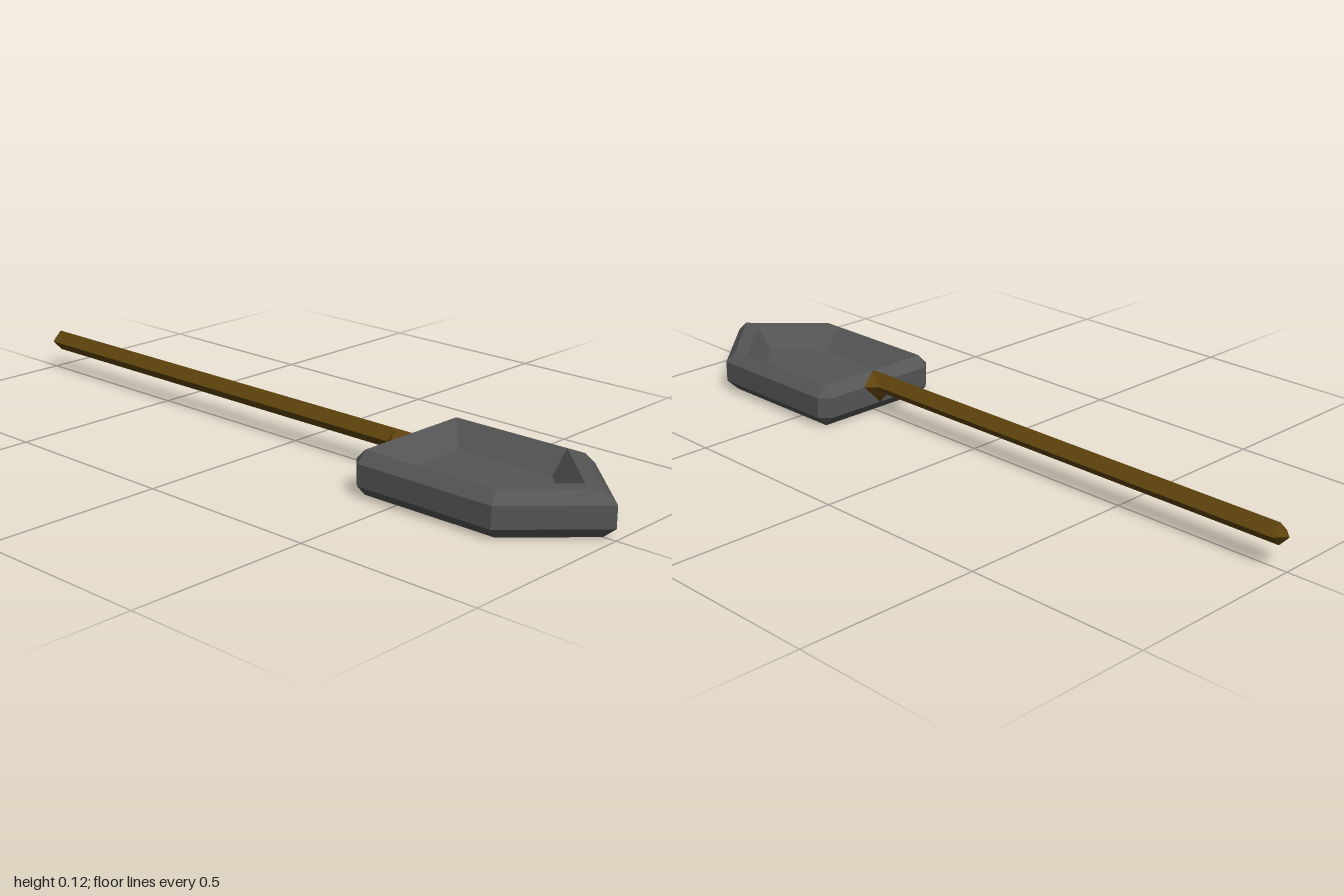
import * as THREE from 'three';

// Skin a stack of equal-length point rings; optional flat caps at both ends.
function skin(rings, caps) {
  const pos = [];
  const tri = (a, b, c) => {
    if (new THREE.Triangle(a, b, c).getArea() < 1e-7) return;
    for (const p of [a, b, c]) pos.push(p.x, p.y, p.z);
  };
  for (let r = 0; r < rings.length - 1; r++) {
    const a = rings[r], b = rings[r + 1], n = a.length;
    for (let i = 0; i < n; i++) {
      const j = (i + 1) % n;
      tri(a[i], a[j], b[j]);
      tri(a[i], b[j], b[i]);
    }
  }
  if (caps) {
    const first = rings[0], last = rings[rings.length - 1];
    for (let i = 1; i < first.length - 1; i++) {
      tri(first[0], first[i + 1], first[i]);
      tri(last[0], last[i], last[i + 1]);
    }
  }
  const g = new THREE.BufferGeometry();
  g.setAttribute('position', new THREE.Float32BufferAttribute(pos, 3));
  g.computeVertexNormals();
  return g;
}

// Pointed blade outline: tip, shoulders, and back corners cut by a small chamfer.
function bladeRing(y, w, tip, shoulder, back, cut = 0) {
  const half = [[w, shoulder], [w, back + cut], [w - cut, back]];
  const pts = [[0, tip], ...half, ...half.map(([x, z]) => [-x, z]).reverse()];
  return pts.map(([x, z]) => new THREE.Vector3(x, y, z));
}

// Diamond section of the handle, from its top, side and bottom corners.
function diamond(z, w, top, mid, bottom, topZ = z) {
  return [[0, top, topZ], [w, mid, z], [0, bottom, z], [-w, mid, z]]
    .map(p => new THREE.Vector3(...p));
}

export function createModel() {
  const model = new THREE.Group();
  const add = (name, geometry, color) => {
    const mesh = new THREE.Mesh(geometry,
      new THREE.MeshStandardMaterial({ color, flatShading: true }));
    mesh.name = name;
    model.add(mesh);
  };

  // Bevelled scoop: underside, walls, rim, then down into the hollow
  add('blade', skin([
    bladeRing(0, 0.172, 0.965, 0.79, 0.398),
    bladeRing(0.029, 0.2, 1, 0.8, 0.37, 0.028),
    bladeRing(0.086, 0.2, 1, 0.8, 0.37, 0.028),
    bladeRing(0.115, 0.172, 0.965, 0.79, 0.398),
    bladeRing(0.115, 0.172, 0.91, 0.738, 0.398),
    bladeRing(0.057, 0.115, 0.853, 0.738, 0.453),
  ], true), 0x555555);

  // Flared collar, long diamond shaft and pointed end
  add('handle', skin([
    diamond(0.37, 0.056, 0.115, 0.086, 0.029, 0.398),
    diamond(0.343, 0.028, 0.115, 0.0865, 0.058),
    diamond(-0.973, 0.028, 0.115, 0.0865, 0.058),
    diamond(-1, 0, 0.0865, 0.0865, 0.0865),
  ], false), 0x5f430d);

  return model;
}
